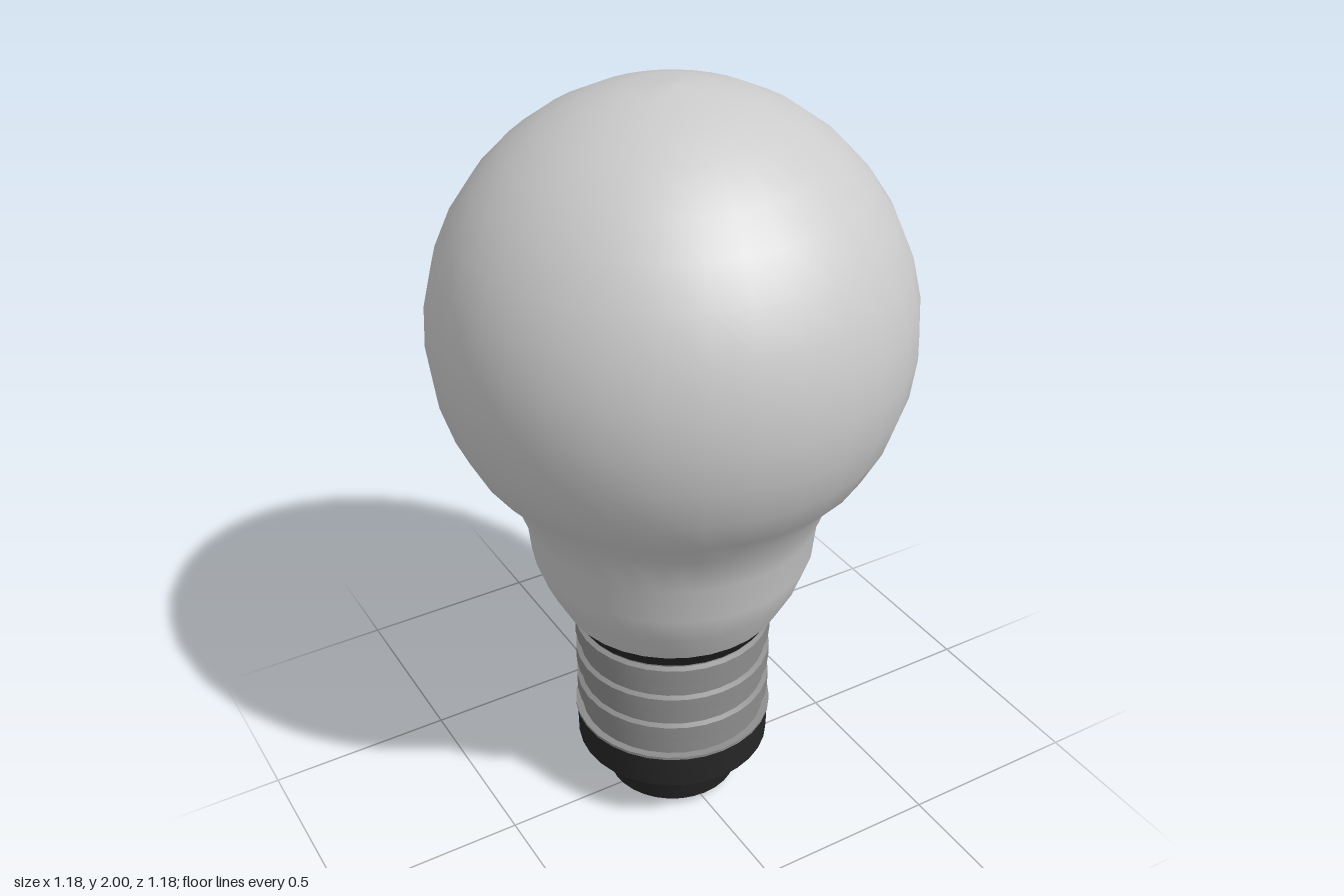
import * as THREE from 'three';
import { toCreasedNormals } from 'three/addons/utils/BufferGeometryUtils.js';

const SIDES = 32;

const material = (color) => new THREE.MeshStandardMaterial({ color, side: THREE.DoubleSide });
const glass = material(0xcccccc);
const metal = material(0x8c8c8c);
const dark = material(0x262626);

// Revolves [radius, height] pairs, listed from bottom to top
function turned(name, profile, mat, crease) {
  const points = profile.map(([r, y]) => new THREE.Vector2(r, y));
  let geometry = new THREE.LatheGeometry(points, SIDES);
  if (crease) geometry = toCreasedNormals(geometry, crease);
  const mesh = new THREE.Mesh(geometry, mat);
  mesh.name = name;
  return mesh;
}

export function createModel() {
  const model = new THREE.Group();
  model.name = 'lightBulb';

  // Glass: flared neck, then a spherical globe
  const bulb = [
    [0.29, 0.612], [0.339, 0.705], [0.366, 0.784], [0.376, 0.88], [0.418, 0.996],
  ];
  const radius = 0.592, centre = 1.408, rings = 12;
  for (let i = 0; i <= rings; i++) {
    const a = THREE.MathUtils.lerp(-0.57, Math.PI / 2, i / rings);
    bulb.push([Math.max(0, radius * Math.cos(a)), centre + radius * Math.sin(a)]);
  }
  model.add(turned('glassBulb', bulb, glass));

  // Dark collar joining the glass to the screw base
  model.add(turned('collar',
    [[0, 0.56], [0.255, 0.56], [0.29, 0.615], [0.27, 0.615]], dark, 0.4));

  // Screw base: a core with three raised bands
  const screw = [[0.25, 0.25]];
  for (const y of [0.307, 0.402, 0.498]) {
    screw.push([0.25, y - 0.006], [0.262, y], [0.262, y + 0.048], [0.25, y + 0.054]);
  }
  screw.push([0.25, 0.557], [0, 0.557]);
  model.add(turned('screwBase', screw, metal, 0.3));

  // Thin rim under the screw thread
  model.add(turned('rim',
    [[0.255, 0.248], [0.268, 0.25], [0.268, 0.258], [0.24, 0.26]], metal, 0.4));

  // Stepped insulator
  model.add(turned('insulator',
    [[0.18, 0.027], [0.205, 0.12], [0.262, 0.154], [0.264, 0.255], [0.24, 0.257]], dark, 0.3));

  // Bottom plate and tapered electrical contact
  model.add(turned('bottomPlate', [[0, 0.027], [0.18, 0.027]], glass));
  model.add(turned('contact', [[0, 0], [0.055, 0], [0.105, 0.028]], metal, 0.3));

  return model;
}
